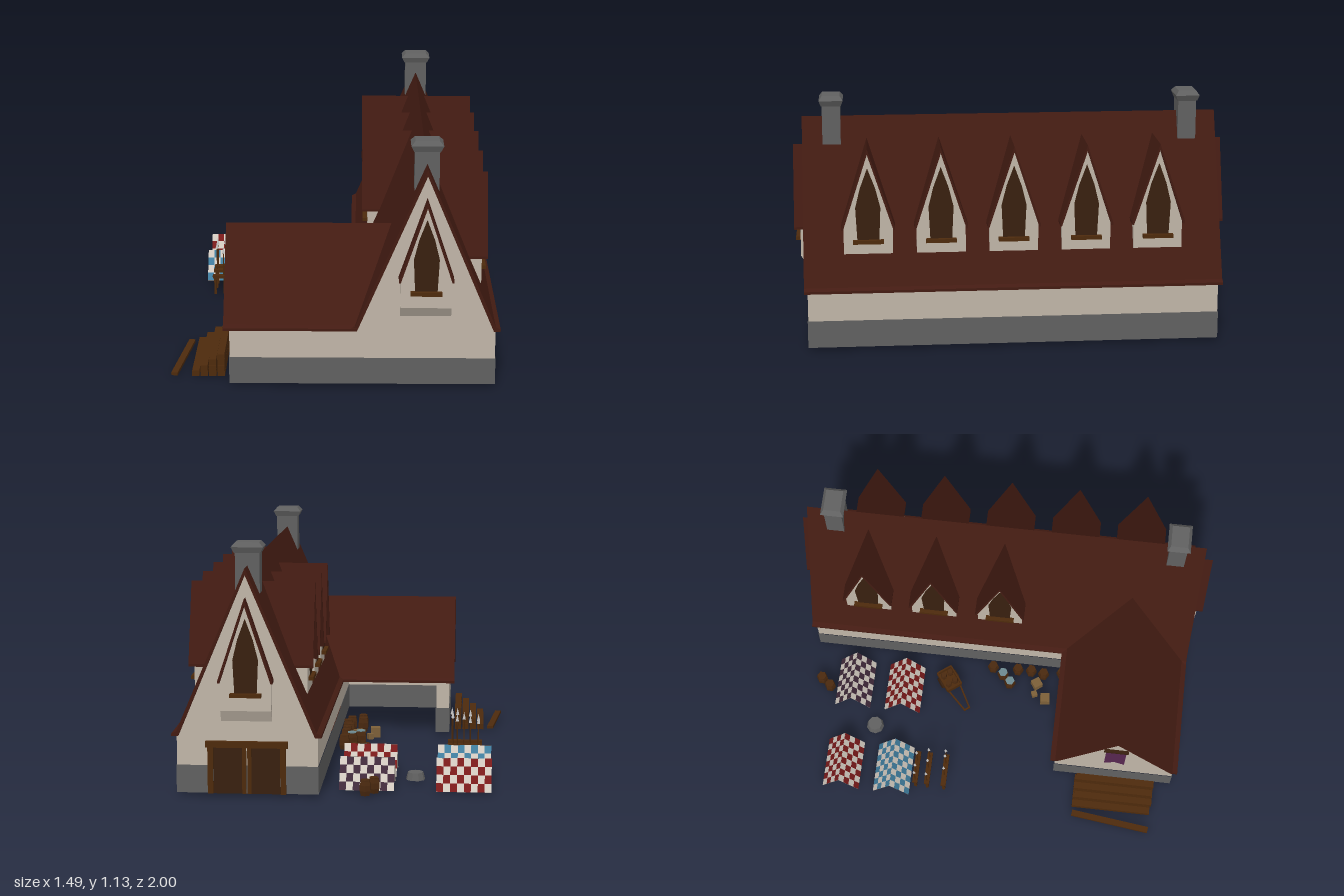
import * as THREE from 'three';
import { mergeGeometries } from 'three/addons/utils/BufferGeometryUtils.js';

const mat = (color, side = THREE.FrontSide) => new THREE.MeshStandardMaterial({ color, side, flatShading: true });
const M = {
  roof: mat(0x431b12, THREE.DoubleSide), wall: mat(0xc0b5a7, THREE.DoubleSide), stone: mat(0x606060, THREE.DoubleSide),
  wood: mat(0x4d2a0c), dark: mat(0x38200f, THREE.DoubleSide), cask: mat(0x4a290f), crate: mat(0x7c5f38),
  water: mat(0x6d8a90), iron: mat(0xcccccc), cream: mat(0xd2cac0), lining: mat(0x9c978f, THREE.DoubleSide),
  banner: mat(0x56264f, THREE.DoubleSide),
};

function add(parent, name, geo, material, x = 0, y = 0, z = 0, ry = 0) {
  const m = new THREE.Mesh(geo, material);
  m.name = name;
  m.position.set(x, y, z);
  m.rotation.y = ry;
  parent.add(m);
  return m;
}
function sub(parent, name, x = 0, y = 0, z = 0, ry = 0) {
  const g = new THREE.Group();
  g.name = name;
  g.position.set(x, y, z);
  g.rotation.y = ry;
  parent.add(g);
  return g;
}
const box = (w, h, d) => new THREE.BoxGeometry(w, h, d);
const shape = (pts) => new THREE.Shape(pts.map(([x, y]) => new THREE.Vector2(x, y)));
const extrude = (pts, z0, z1) =>
  new THREE.ExtrudeGeometry(shape(pts), { depth: z1 - z0, bevelEnabled: false }).translate(0, 0, z0);

// Main roof: half-run of the slope at a given height
const RIDGE_X = 0.408, RIDGE_Y = 1.037, SLOPE = 0.423;
const run = (y) => (RIDGE_Y - y) * SLOPE;

// Gable roof along z; endRule reshapes the z0 end so that it meets another slope
function gableRoof(half, top, bottom, lip, t, z0, z1, endRule) {
  const side = [[half - lip, bottom + (lip ? 0.01 : 0)], [half, bottom], [half, bottom - 0.012], [half - lip - 0.008, bottom - 0.012]];
  const geo = extrude([[0, top], ...side, [0, top - t],
    ...side.map(([x, y]) => [-x, y]).reverse()], z0, z1);
  if (endRule) {
    const p = geo.attributes.position;
    for (let i = 0; i < p.count; i++) if (Math.abs(p.getZ(i) - z0) < 1e-4) p.setZ(i, endRule(p.getY(i)));
    geo.computeVertexNormals();
  }
  return geo;
}

// Vertical wall from a to b, facing outwards
function wall(parent, name, a, b, y0, y1, material, out = 0) {
  const dx = b[0] - a[0], dz = b[1] - a[1], len = Math.hypot(dx, dz);
  add(parent, name, new THREE.PlaneGeometry(len + 2 * out, y1 - y0), material,
    (a[0] + b[0]) / 2 - dz / len * out, (y0 + y1) / 2, (a[1] + b[1]) / 2 + dx / len * out, Math.atan2(-dz, dx));
}

// Pointed window with sill
function pointedWindow(parent, y, z) {
  add(parent, 'windowPane', new THREE.ShapeGeometry(
    shape([[-0.05, 0], [0.05, 0], [0.057, 0.15], [0.035, 0.24], [0, 0.335], [-0.035, 0.24], [-0.057, 0.15]])), M.dark, 0, y, z + 0.004);
  add(parent, 'windowSill', box(0.14, 0.017, 0.03), M.wood, 0, y - 0.008, z + 0.008);
}

function dormer(parent, side, z) {
  const g = sub(parent, 'dormer', RIDGE_X, 0, z, side * Math.PI / 2);
  add(g, 'dormerWall', extrude([[-0.112, 0.445], [0.112, 0.445], [0.112, 0.57], [0, 0.92], [-0.112, 0.57]], 0.2, 0.257), M.wall);
  add(g, 'dormerRoof', gableRoof(0.122, 0.94, 0.575, 0, 0.026, 0, 0.283, (y) => run(y) - 0.012), M.roof);
  pointedWindow(g, 0.512, 0.257);
}

// Gable end with its corbelled bay, in front-facing local space
function gableEnd(parent, face, ry) {
  const g = sub(parent, 'gableEnd', RIDGE_X, 0, 0, ry);
  add(g, 'gableWall', new THREE.ShapeGeometry(shape([[-0.317, 0.28], [0.317, 0.28], [0, 1.015]])), M.wall, 0, 0, face);
  add(g, 'bayWall', extrude([[-0.113, 0.4], [0.113, 0.4], [0.113, 0.54], [0, 0.885], [-0.113, 0.54]], 0.93, 0.972), M.wall);
  add(g, 'bayCorbel', extrude([[0.935, 0.35], [face + 0.002, 0.35], [0.972, 0.4], [0.935, 0.4]], -0.114, 0.114)
    .rotateY(-Math.PI / 2), M.wall);
  add(g, 'bayRoof', gableRoof(0.122, 0.905, 0.54, 0, 0.03, 0.93, 1), M.roof);
  pointedWindow(g, 0.48, 0.972);
  return g;
}

function chimney(parent, z) {
  const g = sub(parent, 'chimney', RIDGE_X, 0, z);
  add(g, 'chimneyStack', box(0.11, 0.185, 0.084), M.stone, 0, 1.005, 0);
  for (const [y, h, bottom, top] of [[1.092, 0.027, 0.82, 1], [1.119, 0.021, 1, 0.74]]) {
    const r = Math.SQRT1_2;
    add(g, 'chimneyCap', new THREE.CylinderGeometry(r * top, r * bottom, h, 4, 1).rotateY(Math.PI / 4).scale(0.144, 1, 0.11),
      M.stone, 0, y + h / 2, 0);
  }
}

function barrel(parent, x, z, y = 0.01, s = 1, top = M.cask) {
  const profile = [[0, 0], [0.022, 0], [0.028, 0.022], [0.028, 0.048], [0.022, 0.07]];
  const g = sub(parent, 'barrel', x, y, z);
  g.scale.setScalar(s);
  add(g, 'barrelBody', new THREE.LatheGeometry(profile.map((p) => new THREE.Vector2(...p)), 6), M.cask);
  add(g, 'barrelLid', new THREE.CylinderGeometry(0.023, 0.023, 0.004, 6), top, 0, 0.07, 0);
}

// Ridge tent with chequered cloth
function tent(parent, x, z, color) {
  const g = sub(parent, 'tent', x, 0, z);
  const W = 0.25, half = 0.0925, H = 0.135, L = Math.hypot(half, H), cols = 8, rows = 4;
  const cells = [[], []];
  for (let i = 0; i < cols; i++) for (let j = 0; j < rows; j++)
    cells[(i + j) % 2].push(new THREE.PlaneGeometry(W / cols, L / rows)
      .translate((i + 0.5) * W / cols - W / 2, (j + 0.5) * L / rows - L / 2, 0));
  const cloth = cells.map((c) => mergeGeometries(c));
  const dyed = mat(color);
  for (const s of [0, 1]) {
    const turn = sub(g, 'tentSide', 0, 0, 0, s * Math.PI);
    const panel = sub(turn, 'tentPanel', 0, 0.01 + H / 2, half / 2);
    panel.rotation.x = -Math.atan2(half, H);
    add(panel, 'dyedSquares', cloth[0], dyed);
    add(panel, 'creamSquares', cloth[1], M.cream);
    add(panel, 'tentLining', new THREE.PlaneGeometry(W, L), M.lining, 0, 0, -0.002);
  }
}

export function createModel() {
  const model = new THREE.Group();
  model.name = 'farmstead';

  // Walls over a stone footing; the wing is open to the yard but for a corner return
  const house = sub(model, 'house');
  const F = 0.94, B = -0.948, L = -0.472, R = 0.723, Y = 0.09;
  const sides = [['front', [L, F], [R, F]], ['left', [R, F], [R, B]], ['back', [R, B], [Y, B]], ['yard', [Y, B], [Y, F]],
    ['wingReturn', [L + 0.065, 0.345], [L, 0.345]], ['wingEnd', [L, 0.345], [L, F]]];
  for (const [name, a, b] of sides) {
    wall(house, name + 'Wall', a, b, 0.145, 0.285, M.wall);
    wall(house, name + 'Footing', a, b, 0.02, 0.147, M.stone, 0.003);
  }
  add(house, 'floor', new THREE.PlaneGeometry(R - Y, 0.62).rotateX(Math.PI / 2), M.roof, (R + Y) / 2, 0.021, F - 0.31);

  // Main roof, gable ends, dormers and chimneys
  add(house, 'mainRoof', gableRoof(0.336, RIDGE_Y, 0.293, 0.022, 0.03, -0.967, 0.956), M.roof, RIDGE_X);
  gableEnd(house, F, 0);
  const back = gableEnd(house, -B, Math.PI);
  for (const z of [-0.67, -0.338, -0.005, 0.328, 0.66]) {
    dormer(house, 1, z);
    if (z < 0.1) dormer(house, -1, z);
  }
  for (const z of [-0.83, 0.82]) chimney(house, z);

  // Double door in the back gable
  const door = sub(back, 'doubleDoor', 0, 0, -B);
  for (const s of [-1, 1]) {
    add(door, 'doorPost', box(0.025, 0.225, 0.03), M.wood, s * 0.163, 0.132, 0.003);
    add(door, 'doorLeaf', box(0.145, 0.21, 0.016), M.dark, s * 0.076, 0.125, 0.003);
    add(door, 'doorStrap', box(0.018, 0.21, 0.022), M.wood, s * 0.012, 0.125, 0.003);
  }
  add(door, 'doorLintel', box(0.37, 0.028, 0.034), M.wood, 0, 0.245, 0.003);

  // Wing roof runs into the main slope; gable and banner at its end
  const wing = sub(house, 'wing', 0, 0, 0.64, -Math.PI / 2);
  add(wing, 'wingRoof', gableRoof(0.318, 0.685, 0.293, 0.025, 0.025, 0, 0.499, (y) => run(y) - RIDGE_X - 0.012), M.roof);
  add(wing, 'wingGable', new THREE.ShapeGeometry(shape([[-0.295, 0.28], [0.3, 0.28], [0, 0.67]])), M.wall, 0, 0, -L);
  add(wing, 'banner', new THREE.ShapeGeometry(
    shape([[-0.05, 0.29], [0, 0.32], [0.05, 0.29], [0.05, 0.49], [-0.05, 0.49]])), M.banner, 0, 0, 0.482);
  add(wing, 'bannerRod', box(0.12, 0.012, 0.016), M.dark, 0, 0.493, 0.48);

  // Timber stacked in steps against the wing, one beam fallen aside
  const timber = sub(model, 'timberStack');
  for (let c = 0; c < 4; c++) for (let r = 0; r < 4 - c; r++)
    add(timber, 'beam', box(0.033, 0.027, 0.395), M.wood, -0.519 - c * 0.039, 0.025 + r * 0.028, 0.653 + (r % 2) * 0.006);
  add(timber, 'looseBeam', box(0.03, 0.014, 0.395), M.wood, -0.71, 0.022, 0.655, -0.12);

  // Camp with stone fire pit
  const yard = sub(model, 'yard', 0.002, 0, 0.004);
  tent(yard, -0.56, -0.738, 0x7a1a1a);
  tent(yard, -0.12, -0.738, 0x402a3a);
  tent(yard, -0.56, -0.478, 0x3f7d9e);
  tent(yard, -0.12, -0.478, 0x7a1a1a);
  add(yard, 'firePit', new THREE.CylinderGeometry(0.036, 0.045, 0.035, 9), M.stone, -0.335, 0.027, -0.605);

  // Weapon racks: rails on posts with spears
  const rack = sub(yard, 'weaponRack', -0.56, 0, 0);
  for (const [z, spears] of [[-0.355, [-0.065, -0.026, 0.036]], [-0.295, [-0.065, 0.004, 0.058]], [-0.21, [-0.026, 0.036, 0.062]]]) {
    add(rack, 'rackRail', box(0.165, 0.014, 0.026), M.wood, 0, 0.1, z);
    for (const s of [-1, 1]) add(rack, 'rackPost', box(0.012, 0.1, 0.014), M.wood, s * 0.07, 0.055, z);
    for (const x of spears) {
      const h = 0.225 + x * 0.1;
      add(rack, 'spearShaft', new THREE.CylinderGeometry(0.0035, 0.0035, h, 5), M.wood, x, h / 2 + 0.005, z);
      add(rack, 'spearHead', new THREE.ConeGeometry(0.008, 0.035, 4), M.iron, x, h + 0.02, z);
    }
  }

  // Hand cart loaded with barrels, its handles drawn together
  const cart = sub(yard, 'handCart', -0.057, 0, -0.25, 0.64);
  add(cart, 'cartBed', box(0.11, 0.015, 0.08), M.wood, 0, 0.045, 0);
  for (const s of [-1, 1]) {
    add(cart, 'cartSide', box(0.11, 0.03, 0.008), M.wood, 0, 0.065, s * 0.04);
    add(cart, 'cartEnd', box(0.008, 0.03, 0.08), M.wood, s * 0.054, 0.065, 0);
    add(cart, 'cartHandle', box(0.135, 0.008, 0.008), M.wood, -0.118, 0.045, s * 0.024, -s * 0.15);
    add(cart, 'cartWheel', new THREE.CylinderGeometry(0.03, 0.03, 0.01, 8).rotateX(Math.PI / 2), M.dark, 0.01, 0.036, s * 0.046);
    for (const x of [-0.025, 0.025]) barrel(cart, x, s * 0.019, 0.052, 0.6);
  }
  add(cart, 'cartCrossbar', box(0.008, 0.008, 0.036), M.wood, -0.183, 0.045, 0);

  // Barrels and crates around the yard and under the wing roof
  for (const [x, z] of [[-0.157, -0.865], [-0.12, -0.912], [0.04, -0.03], [0.04, 0.1], [0.04, 0.17], [0.03, 0.235],
    [0.045, 0.33], [0.03, 0.4], [-0.03, 0.37], [-0.025, 0.45]]) barrel(yard, x, z);
  for (const [x, z] of [[0.005, 0.025], [-0.037, 0.065]]) barrel(yard, x, z, 0.01, 1.05, M.water);
  for (const [x, z, s, a] of [[-0.022, 0.205, 0.046, 0.6], [-0.077, 0.198, 0.028, 0.4], [-0.1, 0.256, 0.048, 0.1]])
    add(yard, 'crate', box(s, s, s), M.crate, x, 0.01 + s / 2, z, a);

  return model;
}
